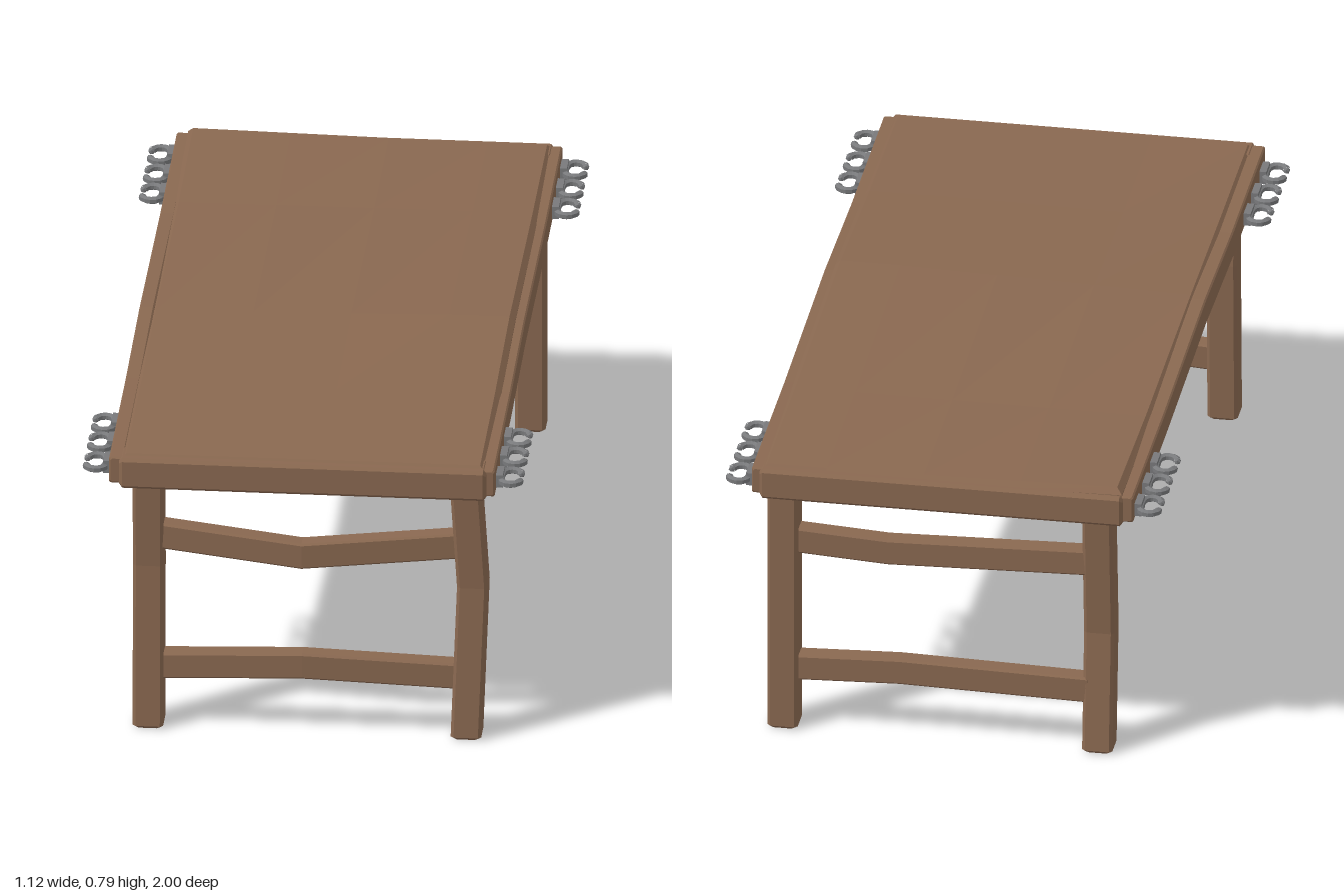
import * as THREE from 'three';

const wood = new THREE.MeshStandardMaterial({ color: 0x896850 });
wood.name = 'brown wood';
const iron = new THREE.MeshStandardMaterial({ color: 0x78797b });
iron.name = 'grey iron';

const AXES = { x: ['y', 'z'], y: ['z', 'x'], z: ['x', 'y'] };

// Chamfered beam lofted along one axis through a few bend points [x, y, z]
function beam(name, axis, points, w, h, chamfer) {
  const [u, v] = AXES[axis];
  const centres = points.map((p) => new THREE.Vector3(...p));
  const ring = (centre, inset, shift) => {
    const a = w / 2 - inset, b = h / 2 - inset, c = chamfer;
    const corners = [[a, c - b], [a, b - c], [a - c, b], [c - a, b], [-a, b - c], [-a, c - b], [c - a, -b], [a - c, -b]];
    return corners.map(([du, dv]) => {
      const p = centre.clone();
      p[u] += du;
      p[v] += dv;
      p[axis] += shift;
      return p;
    });
  };
  const first = centres[0], last = centres[centres.length - 1];
  const rings = [
    ring(first, chamfer, 0),
    ring(first, 0, chamfer),
    ...centres.slice(1, -1).map((c) => ring(c, 0, 0)),
    ring(last, 0, -chamfer),
    ring(last, chamfer, 0),
  ];
  const tris = [];
  const n = 8;
  for (let i = 0; i < rings.length - 1; i++) {
    for (let k = 0; k < n; k++) {
      const a = rings[i][k], b = rings[i][(k + 1) % n];
      const c = rings[i + 1][(k + 1) % n], d = rings[i + 1][k];
      tris.push(a, b, c, a, c, d);
    }
  }
  const end = rings[rings.length - 1];
  for (let k = 1; k < n - 1; k++) {
    tris.push(rings[0][0], rings[0][k + 1], rings[0][k], end[0], end[k], end[k + 1]);
  }
  const geo = new THREE.BufferGeometry().setFromPoints(tris);
  geo.computeVertexNormals();
  const mesh = new THREE.Mesh(geo, wood);
  mesh.name = name;
  return mesh;
}

// Warped board: heights follow one bow on each long edge
function tabletop() {
  const zs = [-0.985, -0.55, 0.12, 0.55, 0.985];
  const xs = [-0.462, -0.2, 0.05, 0.3, 0.467];
  const leftBow = [0.764, 0.767, 0.787, 0.767, 0.764];
  const rightBow = [0.775, 0.763, 0.767, 0.762, 0.762];
  const geo = new THREE.BoxGeometry(4, 2, 4, 4, 2, 4);
  const pos = geo.attributes.position;
  for (let i = 0; i < pos.count; i++) {
    const ix = Math.round(pos.getX(i)) + 2, iz = Math.round(pos.getZ(i)) + 2;
    const level = Math.round(pos.getY(i));
    const t = Math.min(1, ix / 3);
    const top = THREE.MathUtils.lerp(rightBow[iz], leftBow[iz], t);
    // top ring is drawn in to form the chamfer
    const inset = level === 1 ? 0.014 : 0;
    const x = xs[ix] + (ix === 0 ? inset : ix === 4 ? -inset : 0);
    const z = zs[iz] + (iz === 0 ? inset : iz === 4 ? -inset : 0);
    pos.setXYZ(i, x, level === 1 ? top : level === 0 ? top - 0.015 : 0.69, z);
  }
  const flat = geo.toNonIndexed();
  flat.computeVertexNormals();
  const mesh = new THREE.Mesh(flat, wood);
  mesh.name = 'tabletop';
  return mesh;
}

// Open iron hook on a small plate, pointing towards +x
function hook() {
  const g = new THREE.Group();
  g.name = 'hook';
  const plate = new THREE.Mesh(new THREE.BoxGeometry(0.026, 0.034, 0.058), iron);
  plate.name = 'hookPlate';
  plate.position.x = 0.496;
  const half = [[0.553, 0.022], [0.545, 0.037], [0.524, 0.043], [0.507, 0.03]];
  const path = [...half, ...half.map(([x, z]) => [x, -z]).reverse()];
  const curve = new THREE.CatmullRomCurve3(path.map(([x, z]) => new THREE.Vector3(x, 0, z)));
  const tube = new THREE.TubeGeometry(curve, 16, 0.01, 6, false).toNonIndexed();
  tube.computeVertexNormals();
  const claw = new THREE.Mesh(tube, iron);
  claw.name = 'hookClaw';
  g.add(plate, claw);
  // closed tips
  for (const s of [-1, 1]) {
    const tip = new THREE.Mesh(new THREE.IcosahedronGeometry(0.0095, 0), iron);
    tip.name = 'hookTip';
    tip.position.set(0.553, 0, s * 0.022);
    g.add(tip);
  }
  return g;
}

export function createModel() {
  const model = new THREE.Group();
  model.name = 'table';
  model.add(tabletop());

  // End beams under the board
  for (const s of [-1, 1]) {
    model.add(beam('endBeam', 'x', [[-0.465, 0.7165, s * 0.96], [0.47, 0.7165, s * 0.96]], 0.083, 0.08, 0.008));
  }

  // Outer side rails and long aprons
  for (const s of [-1, 1]) {
    const x = s * 0.472;
    model.add(beam('sideRail', 'z', [
      [x, 0.72, -0.985], [x, 0.718, -0.5], [x, 0.732, 0.1], [x, 0.718, 0.5], [x, 0.72, 0.985],
    ], 0.038, 0.072, 0.004));
    model.add(beam('apron', 'z', [[s * 0.42, 0.69, -0.93], [s * 0.42, 0.69, 0.93]], 0.04, 0.06, 0.004));
  }

  // Legs: [x, z, bend height, bend x, bend z]
  const legs = [
    ['frontLeftLeg', 0.4175, 0.948, 0.42, 0.015, -0.014],
    ['frontRightLeg', -0.3925, 0.948, 0.45, 0, -0.014],
    ['backLeftLeg', 0.4175, -0.918, 0.4, 0, 0],
    ['backRightLeg', -0.3925, -0.918, 0.33, 0, 0.03],
  ];
  for (const [name, x, z, y, dx, dz] of legs) {
    model.add(beam(name, 'y', [[x, 0, z], [x + dx, y, z + dz], [x, 0.685, z]], 0.078, 0.078, 0.008));
  }

  // Bent stretchers: [y, z, bend x, bend y, bend z]
  const stretchers = [
    ['frontUpperStretcher', 0.533, 0.945, 0, -0.03, 0.03],
    ['frontLowerStretcher', 0.17, 0.945, 0, 0.018, 0.012],
    ['backUpperStretcher', 0.533, -0.915, 0.15, -0.014, 0],
    ['backLowerStretcher', 0.17, -0.915, 0.12, 0.01, 0],
  ];
  for (const [name, y, z, x, dy, dz] of stretchers) {
    model.add(beam(name, 'x', [[-0.37, y, z], [x, y + dy, z + dz], [0.395, y, z]], 0.07, 0.05, 0.005));
  }

  // Three hooks at each end of both sides
  for (const side of [0, Math.PI]) {
    for (const z of [-0.938, -0.82, -0.705, 0.688, 0.802, 0.922]) {
      const h = hook();
      h.rotation.y = side;
      h.position.set(0, 0.712, z);
      model.add(h);
    }
  }
  return model;
}
